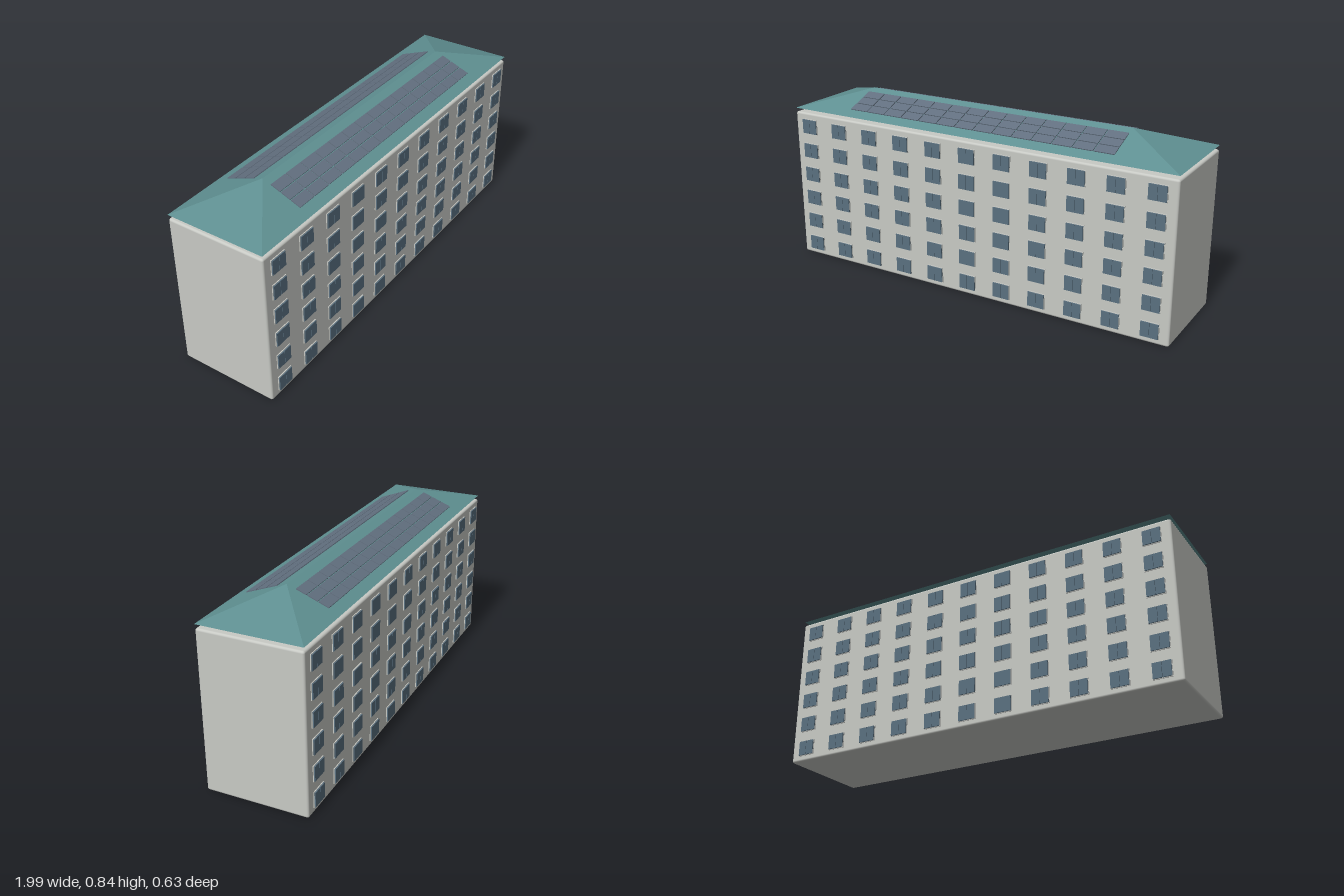
import * as THREE from 'three';
import { RoundedBoxGeometry } from 'three/addons/geometries/RoundedBoxGeometry.js';
import { mergeGeometries } from 'three/addons/utils/BufferGeometryUtils.js';

const HALF_L = 0.981, HALF_W = 0.235, WALL_H = 0.735;
const EAVE_Y = 0.753, RIDGE_Y = 0.843, RIDGE_HALF = 0.677;

function material(name, color, side = THREE.FrontSide) {
  const m = new THREE.MeshStandardMaterial({ color, side });
  m.name = name;
  return m;
}

function addMesh(parent, name, geometry, mat) {
  const mesh = new THREE.Mesh(geometry, mat);
  mesh.name = name;
  parent.add(mesh);
  return mesh;
}

function box(w, h, d, x, y, z) {
  return new THREE.BoxGeometry(w, h, d).translate(x, y, z);
}

// Hipped roof: two long slopes, two hips and a flat underside
function hipRoof() {
  const a = [-HALF_L, EAVE_Y, HALF_W], b = [HALF_L, EAVE_Y, HALF_W];
  const c = [HALF_L, EAVE_Y, -HALF_W], d = [-HALF_L, EAVE_Y, -HALF_W];
  const l = [-RIDGE_HALF, RIDGE_Y, 0], r = [RIDGE_HALF, RIDGE_Y, 0];
  const triangles = [
    a, b, r, a, r, l,
    c, d, l, c, l, r,
    b, c, r, d, a, l,
    a, d, c, a, c, b,
  ];
  const g = new THREE.BufferGeometry();
  g.setAttribute('position', new THREE.Float32BufferAttribute(triangles.flat(), 3));
  g.computeVertexNormals();
  return g;
}

export function createModel() {
  const wall = material('wall grey', 0xc8cac5);
  const glass = material('window blue grey', 0x5a7080);
  const roofMat = material('roof teal', 0x5f9092, THREE.DoubleSide);
  const panelMat = material('solar panel slate', 0x627080);

  const model = new THREE.Group();
  model.name = 'apartmentBlock';
  const building = new THREE.Group();
  building.name = 'building';
  building.rotation.y = 0.0765;
  model.add(building);

  // Main block with softened edges
  const body = new RoundedBoxGeometry(HALF_L * 2, WALL_H, HALF_W * 2, 2, 0.01);
  addMesh(building, 'walls', body.translate(0, WALL_H / 2, 0), wall);

  // Two-pane windows: eleven columns on six floors, both long sides
  for (const side of [1, -1]) {
    const panes = [], frames = [];
    for (let col = 0; col < 11; col++) {
      for (let floor = 0; floor < 6; floor++) {
        const x = (col - 5) * 0.179, y = 0.062 + floor * 0.1215;
        frames.push(box(0.085, 0.073, 0.006, x, y, side * (HALF_W + 0.001)));
        for (const s of [-1, 1]) {
          panes.push(box(0.0393, 0.068, 0.009, x + s * 0.0204, y, side * (HALF_W + 0.0045)));
        }
      }
    }
    const label = side > 0 ? 'front' : 'back';
    addMesh(building, label + 'WindowFrames', mergeGeometries(frames), wall);
    addMesh(building, label + 'WindowPanes', mergeGeometries(panes), glass);
  }

  addMesh(building, 'roof', hipRoof(), roofMat);

  // Solar arrays lying on both long slopes
  const pitch = Math.atan2(RIDGE_Y - EAVE_Y, HALF_W);
  const slope = Math.hypot(RIDGE_Y - EAVE_Y, HALF_W);
  for (const side of [1, -1]) {
    const panels = [];
    for (let col = 0; col < 14; col++) {
      for (let row = 0; row < 3; row++) {
        const down = slope * (0.27 + row * 0.208);
        panels.push(box(0.093, 0.004, 0.048, (col - 6.5) * 0.0973, 0.003, down));
      }
    }
    const array = addMesh(building, side > 0 ? 'frontSolarPanels' : 'backSolarPanels',
      mergeGeometries(panels), panelMat);
    array.position.y = RIDGE_Y;
    array.rotation.order = 'YXZ';
    array.rotation.set(pitch, side > 0 ? 0 : Math.PI, 0);
  }

  return model;
}
